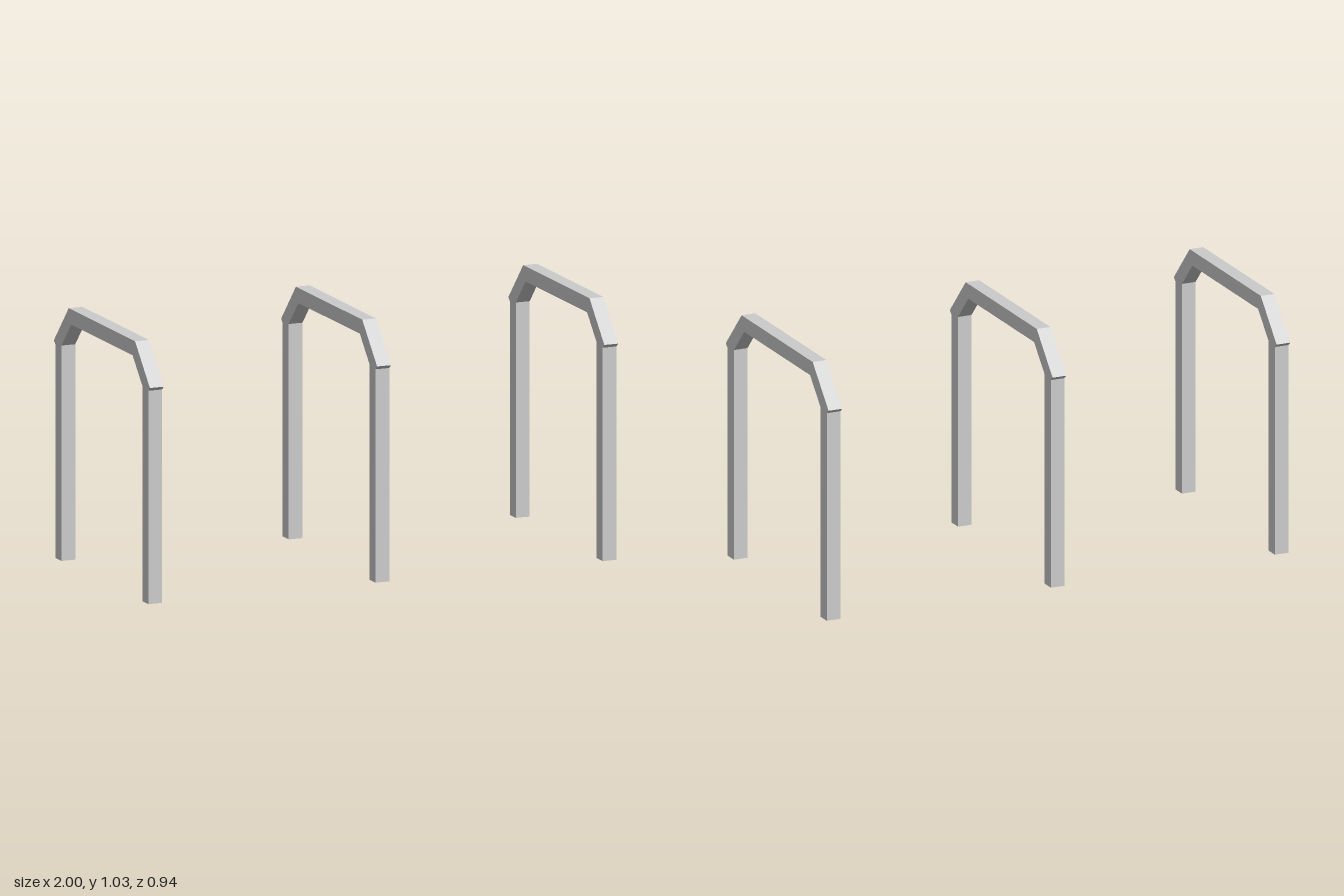
import * as THREE from 'three';

const T = 0.059; // square section of every beam

export function createModel() {
  const model = new THREE.Group();
  model.name = 'portalFrames';
  const material = new THREE.MeshStandardMaterial({ color: 0xcccccc, flatShading: true });

  function beam(name, height, depth, y, z, parent) {
    const mesh = new THREE.Mesh(new THREE.BoxGeometry(T, height, depth), material);
    mesh.name = name;
    mesh.position.set(0, y, z);
    parent.add(mesh);
    return mesh;
  }

  // Outer edge of the sloping corner brace, as (z, y)
  const low = new THREE.Vector2(0.47, 0.87);
  const high = new THREE.Vector2(0.325, 1.028);
  const along = high.clone().sub(low);
  const length = along.length();
  const inward = new THREE.Vector2(-along.y, along.x).divideScalar(length);
  const mid = low.clone().add(high).multiplyScalar(0.5).addScaledVector(inward, T / 2);
  const tilt = Math.atan2(along.x, along.y);

  for (const [name, x] of [['rightFrame', -1 + T / 2], ['middleFrame', 0], ['leftFrame', 1 - T / 2]]) {
    const frame = new THREE.Group();
    frame.name = name;
    frame.position.x = x;
    model.add(frame);

    // Level beam across the top
    beam('topBeam', 0.061, 2 * high.x, 0.9975, 0, frame);

    // Post and corner brace at the front and back
    for (const s of [1, -1]) {
      const end = s > 0 ? 'front' : 'back';
      beam(end + 'Post', 0.868, T, 0.434, s * 0.425, frame);
      beam(end + 'Brace', length, T, mid.y, s * mid.x, frame).rotation.x = s * tilt;
    }
  }
  return model;
}
